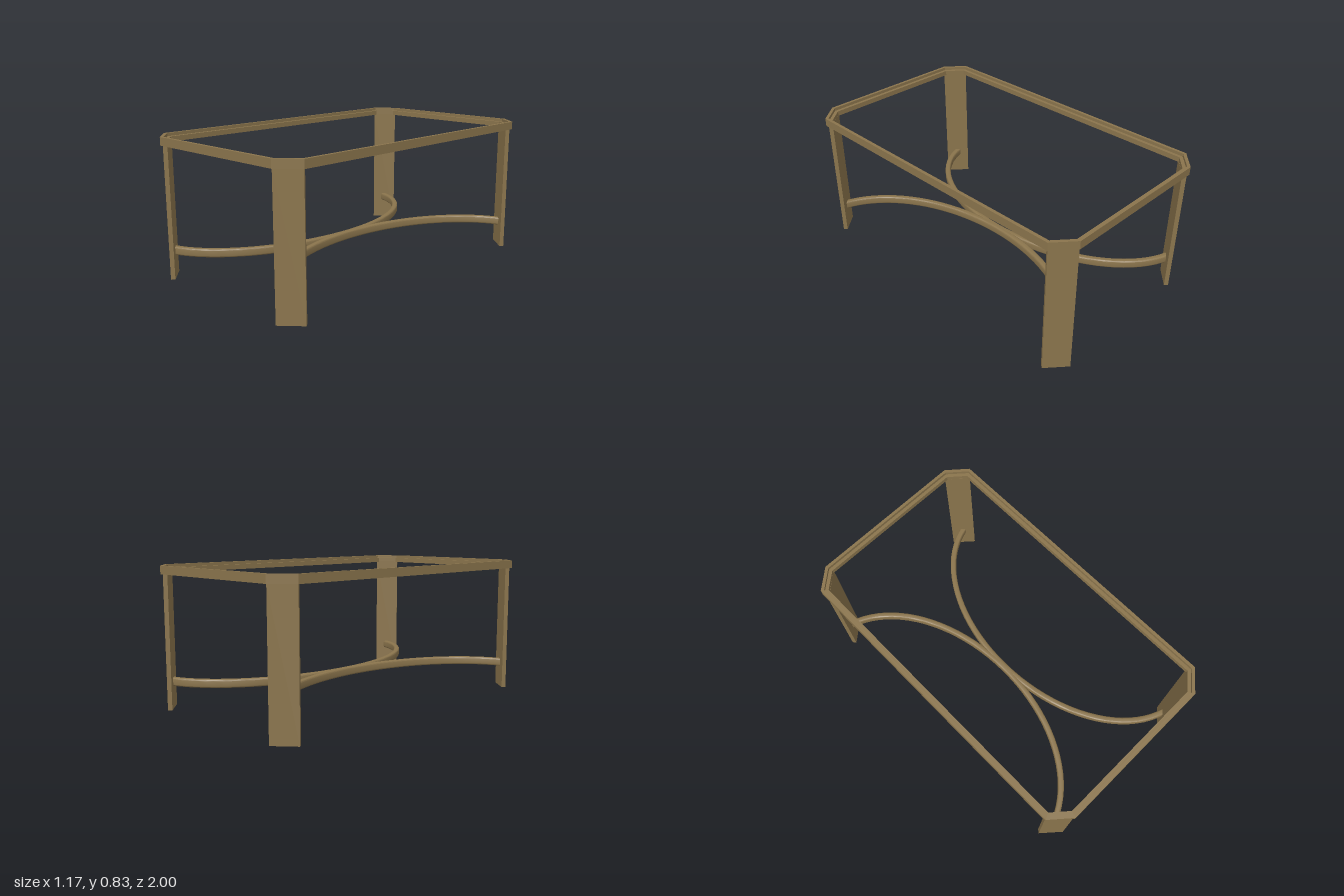
import * as THREE from 'three';
import { toCreasedNormals } from 'three/addons/utils/BufferGeometryUtils.js';

const wood = new THREE.MeshStandardMaterial({ color: 0x8a744c });

// Chamfered rectangle outline (counter-clockwise), half sizes x/z and corner cut points
function octagon(x, z, cx, cz) {
  return [[cx, -z], [x, -cz], [x, cz], [cx, z], [-cx, z], [-x, cz], [-x, -cz], [-cx, -z]]
    .map(([a, b]) => new THREE.Vector2(a, b));
}

// Flat plan shape extruded upward from y to y + height
function slab(name, shape, y, height, bevel = 0) {
  const geo = new THREE.ExtrudeGeometry(shape, {
    depth: height - 2 * bevel, bevelEnabled: bevel > 0, bevelThickness: bevel,
    bevelSize: bevel, bevelOffset: -bevel, bevelSegments: 4,
  });
  geo.rotateX(-Math.PI / 2);
  geo.translate(0, y + bevel, 0);
  const mesh = new THREE.Mesh(toCreasedNormals(geo, 0.5), wood);
  mesh.name = name;
  return mesh;
}

function ring(name, outer, inner, y, height) {
  const shape = new THREE.Shape(outer);
  shape.holes.push(new THREE.Path(inner));
  return slab(name, shape, y, height);
}

// Curved stretcher: half-ellipse bar bulging to the centre
function stretcher(side) {
  const a = 0.62, b = 0.94, half = 0.018, steps = 40;
  const end = Math.acos(0.11 / a);
  const outer = [], inner = [];
  for (let i = 0; i <= steps; i++) {
    const t = -end + (2 * end * i) / steps;
    const p = new THREE.Vector2(a * Math.cos(t) - a - 0.004, b * Math.sin(t));
    const n = new THREE.Vector2(b * Math.cos(t), a * Math.sin(t)).normalize();
    outer.push(p.clone().addScaledVector(n, half));
    inner.push(p.clone().addScaledVector(n, -half));
  }
  const points = [...outer, ...inner.reverse()].map((p) => new THREE.Vector2(p.x * side, p.y));
  // The unmirrored bar bulges from the right (-x) half
  return slab(side > 0 ? 'rightStretcher' : 'leftStretcher', new THREE.Shape(points), 0.13, 0.05, 0.01);
}

export function createModel() {
  const model = new THREE.Group();
  model.name = 'tableFrame';

  // Top frame: raised rim with a lower ledge inside it
  const outside = octagon(0.587, 1.0, 0.47, 0.9);
  const step = octagon(0.569, 0.982, 0.463, 0.891);
  const inside = octagon(0.549, 0.962, 0.455, 0.882);
  model.add(ring('topRim', outside, step, 0.78, 0.048));
  model.add(ring('topLedge', step, inside, 0.78, 0.03));

  // Diagonal plank legs at the four corners
  for (const sx of [1, -1]) {
    for (const sz of [1, -1]) {
      const plan = [[0.461, 0.99], [0.575, 0.891], [0.559, 0.871], [0.445, 0.971]]
        .map(([x, z]) => new THREE.Vector2(x * sx, z * sz));
      model.add(slab(`${sz > 0 ? 'front' : 'back'}${sx > 0 ? 'Left' : 'Right'}Leg`,
        new THREE.Shape(plan), 0, 0.785));
    }
  }

  // Two arcs meeting in the middle
  model.add(stretcher(1), stretcher(-1));
  return model;
}
